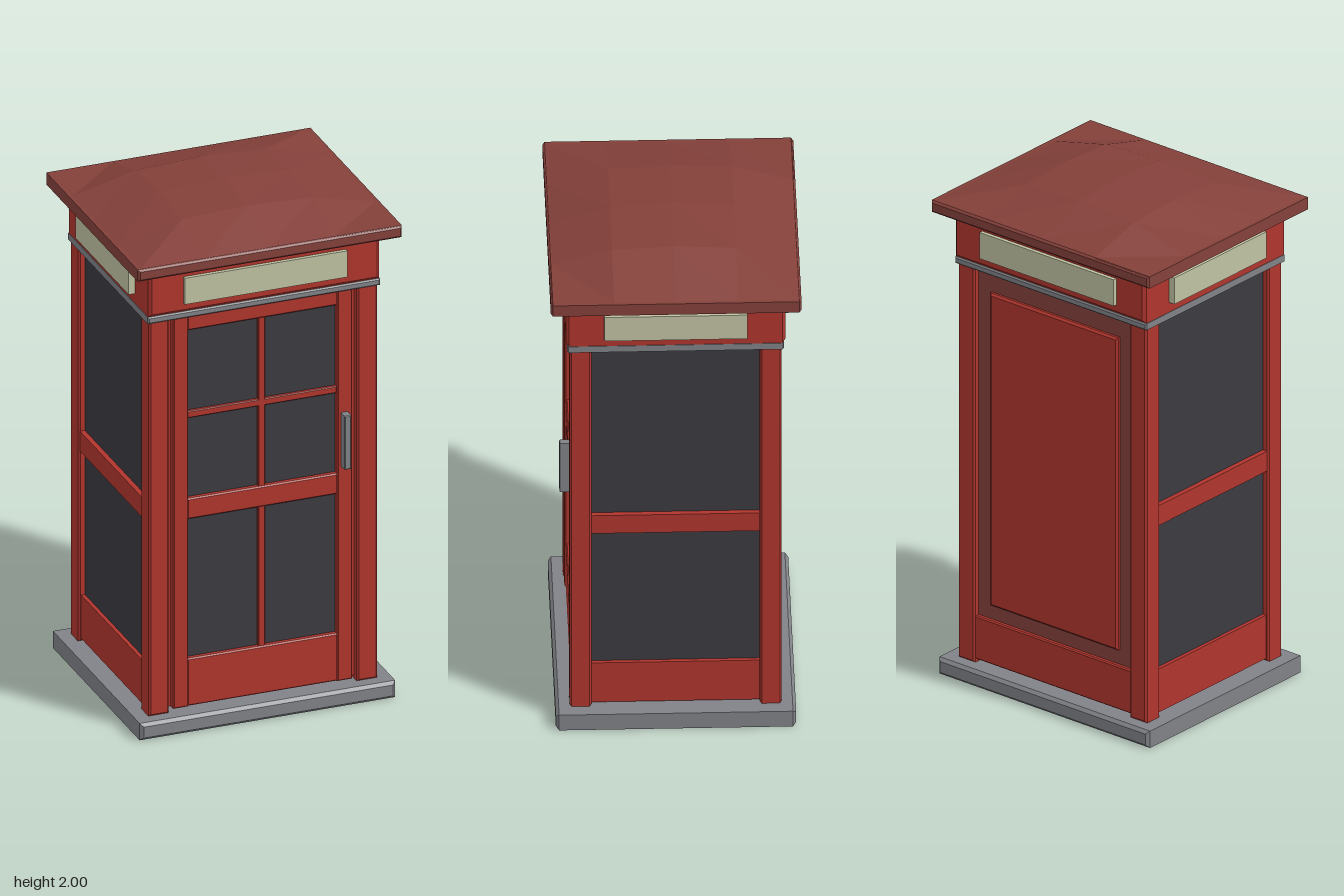
import * as THREE from 'three';

const mat = (name, color) => Object.assign(new THREE.MeshStandardMaterial({ color }), { name });

export function createModel() {
  const root = new THREE.Group();
  root.name = 'phoneBooth';
  const red = mat('booth red', 0xb0352d);
  const roofRed = mat('dull roof red', 0x84403a);
  const grey = mat('stone grey', 0x808287);
  const glass = mat('dark glass', 0x3a3a40);
  const cream = mat('sign cream', 0xc0c2a2);

  // Chamfered box given by its minimum and maximum on each axis
  function box(name, material, [x0, x1], [y0, y1], [z0, z1], c = 0.005, parent = root) {
    const w = x1 - x0, h = y1 - y0, d = z1 - z0;
    let geo;
    if (c > 0) {
      const a = w / 2 - c, b = h / 2 - c;
      const s = new THREE.Shape();
      s.moveTo(-a, -b).lineTo(a, -b).lineTo(a, b).lineTo(-a, b).closePath();
      geo = new THREE.ExtrudeGeometry(s, {
        depth: d - 2 * c, bevelEnabled: true, bevelSize: c, bevelThickness: c, bevelSegments: 1,
      });
      geo.translate(0, 0, c - d / 2);
    } else {
      geo = new THREE.BoxGeometry(w, h, d);
    }
    const mesh = new THREE.Mesh(geo, material);
    mesh.name = name;
    mesh.position.set((x0 + x1) / 2, (y0 + y1) / 2, (z0 + z1) / 2);
    parent.add(mesh);
    return mesh;
  }
  const mirrored = (s, a, b) => (s > 0 ? [a, b] : [-b, -a]);
  const group = (name) => {
    const g = new THREE.Group();
    g.name = name;
    root.add(g);
    return g;
  };

  // Plinth, corner posts, cornice and sign box
  box('plinth', grey, [-0.503, 0.503], [0, 0.068], [-0.44, 0.44], 0.012);
  for (const sx of [1, -1]) {
    for (const sz of [1, -1]) {
      box('cornerPost', red, mirrored(sx, 0.37, 0.45), [0.068, 1.665], mirrored(sz, 0.308, 0.388), 0.007);
    }
  }
  box('cornice', grey, [-0.457, 0.457], [1.658, 1.685], [-0.397, 0.397], 0.005);
  box('signBox', red, [-0.455, 0.455], [1.685, 1.87], [-0.402, 0.402], 0.012);

  // Sign plates on all four sides
  for (const s of [1, -1]) {
    box('signPlate', cream, [-0.32, 0.32], [1.724, 1.83], mirrored(s, 0.395, 0.417), 0);
    box('sideSignPlate', cream, mirrored(s, 0.45, 0.48), [1.724, 1.83], [-0.262, 0.262], 0);
  }

  // Glazed door with stiles, rails and glazing bars
  const door = group('door');
  box('doorGlass', glass, [-0.3, 0.3], [0.2, 1.63], [0.345, 0.36], 0, door);
  for (const s of [1, -1]) {
    box('doorJamb', red, mirrored(s, 0.34, 0.38), [0.08, 1.66], [0.33, 0.355], 0, door);
    box('doorStile', red, mirrored(s, 0.293, 0.353), [0.08, 1.66], [0.34, 0.385], 0.005, door);
  }
  const rails = [['doorKickPanel', 0.08, 0.272], ['doorLockRail', 0.835, 0.918], ['doorTopRail', 1.598, 1.66]];
  for (const [name, y0, y1] of rails) box(name, red, [-0.297, 0.297], [y0, y1], [0.34, 0.38], 0.005, door);
  box('horizontalBar', red, [-0.295, 0.295], [1.241, 1.268], [0.345, 0.374], 0.003, door);
  box('verticalBar', red, [-0.014, 0.014], [0.265, 1.605], [0.345, 0.374], 0.003, door);
  box('doorHandle', grey, [0.307, 0.333], [0.948, 1.165], [0.38, 0.422], 0.003, door);

  // Glazed side walls
  for (const s of [1, -1]) {
    const wall = group(s > 0 ? 'leftWall' : 'rightWall');
    box('sideGlass', glass, mirrored(s, 0.405, 0.425), [0.2, 1.665], [-0.312, 0.312], 0, wall);
    box('sideKickPanel', red, mirrored(s, 0.4, 0.44), [0.08, 0.255], [-0.312, 0.312], 0.005, wall);
    box('sideRail', red, mirrored(s, 0.4, 0.445), [0.838, 0.918], [-0.312, 0.312], 0.005, wall);
  }

  // Solid back wall with a raised panel
  const back = group('backWall');
  box('backBoard', roofRed, [-0.375, 0.375], [0.2, 1.665], [-0.363, -0.335], 0, back);
  box('backRaisedPanel', red, [-0.305, 0.305], [0.315, 1.575], [-0.38, -0.35], 0.008, back);
  box('backKickPanel', red, [-0.375, 0.375], [0.08, 0.255], [-0.38, -0.34], 0.005, back);

  // Eaves slab and faceted dome of the roof
  box('eaves', roofRed, [-0.52, 0.52], [1.866, 1.914], [-0.459, 0.459], 0.008);
  const dome = new THREE.PlaneGeometry(1.028, 0.908, 4, 4).rotateX(-Math.PI / 2);
  const p = dome.attributes.position;
  const rise = (t) => Math.sqrt(Math.max(0, Math.cos(t * Math.PI / 2)));
  for (let i = 0; i < p.count; i++) {
    p.setY(i, 1.912 + 0.088 * rise(p.getX(i) / 0.514) * rise(p.getZ(i) / 0.454));
  }
  const flatDome = dome.toNonIndexed();
  flatDome.computeVertexNormals();
  const roof = new THREE.Mesh(flatDome, roofRed);
  roof.name = 'roofDome';
  root.add(roof);

  return root;
}
